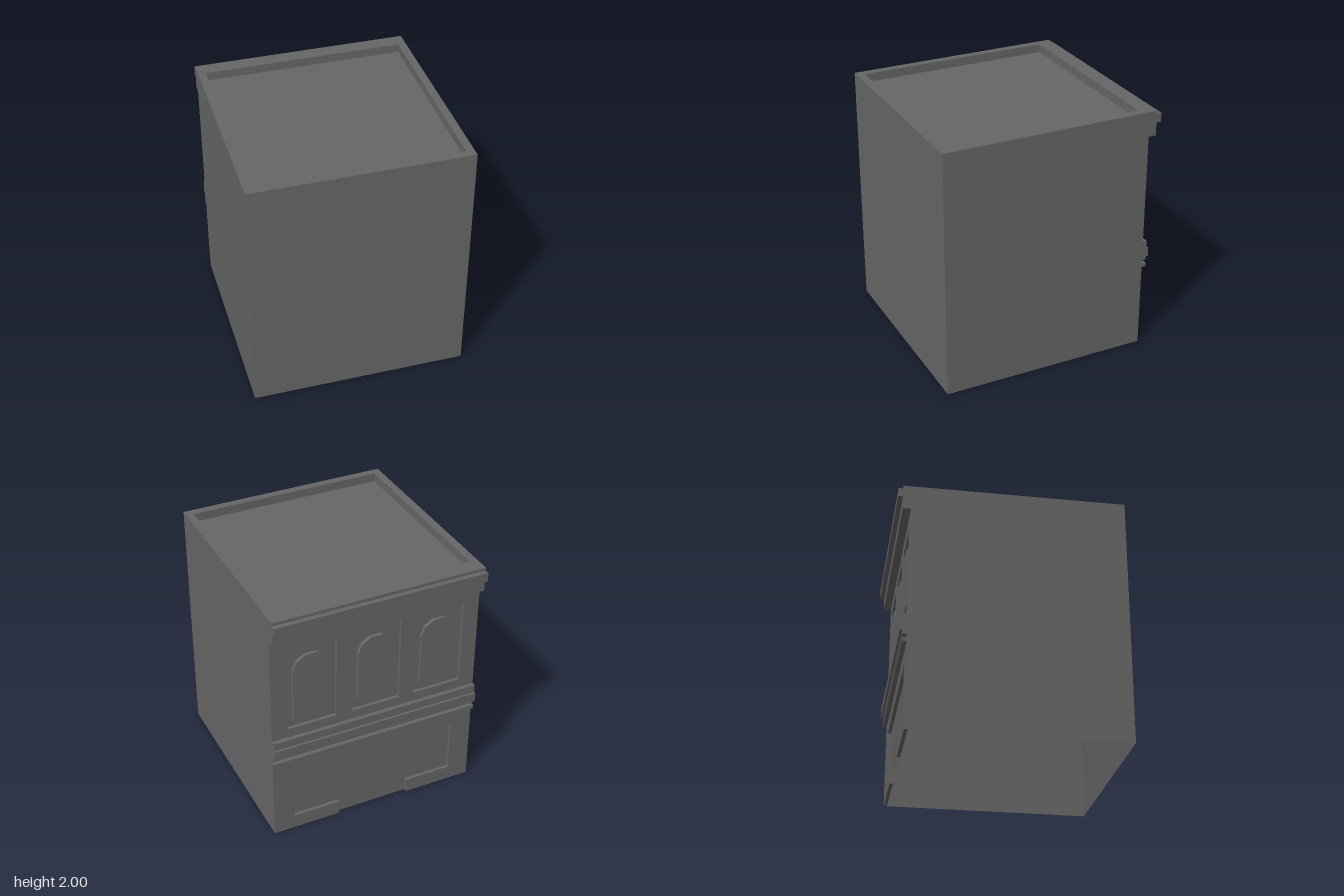
import * as THREE from 'three';

const HALF = 0.855;    // half the building's width
const TOP = 2;
const FRONT = 0.888;   // plain wall
const FACADE = -0.788; // decorated wall plane
const RECESS = 0.027;  // depth of the sunken panels
const ROOF = 1.93;

const material = new THREE.MeshStandardMaterial({
  color: 0x666666, flatShading: true, side: THREE.DoubleSide,
});

function add(group, name, geometry) {
  const mesh = new THREE.Mesh(geometry, material);
  mesh.name = name;
  group.add(mesh);
  return mesh;
}

// Box given by its limits, centred on x
function box(halfWidth, y0, y1, z0, z1) {
  return new THREE.BoxGeometry(2 * halfWidth, y1 - y0, z1 - z0)
    .translate(0, (y0 + y1) / 2, (z0 + z1) / 2);
}

// Keep only some sides of a box: 0 +x, 1 -x, 2 +y, 3 -y, 4 +z, 5 -z
function keepSides(geometry, sides) {
  const index = Array.from(geometry.index.array);
  geometry.setIndex(sides.flatMap((s) => index.slice(s * 6, s * 6 + 6)));
  geometry.clearGroups();
  return geometry;
}

function polygon(points, Type = THREE.Shape) {
  return new Type(points.map(([x, y]) => new THREE.Vector2(x, y)));
}

function rectangle(x0, x1, y0, y1, Type) {
  return polygon([[x0, y0], [x1, y0], [x1, y1], [x0, y1]], Type);
}

function extrude(shape) {
  return new THREE.ExtrudeGeometry(shape, { depth: RECESS, bevelEnabled: false });
}

// Window with a five-sided arched head
function archShape(x, halfWidth, bottom, spring, rise) {
  const points = [[x - halfWidth, bottom], [x + halfWidth, bottom]];
  const steps = 5;
  for (let i = 0; i <= steps; i++) {
    const a = (Math.PI * i) / steps;
    points.push([x + halfWidth * Math.cos(a), spring + rise * Math.sin(a)]);
  }
  return polygon(points);
}

export function createModel() {
  const model = new THREE.Group();
  model.name = 'building';

  // Hollow walls, open underneath
  const inner = FACADE + RECESS;
  add(model, 'walls', keepSides(box(HALF, 0, TOP, inner, FRONT), [0, 1, 4, 5]));

  // Flat rim and the sunken roof inside it
  const roofHalf = 0.792, roofBack = -0.728, roofFront = 0.823;
  const rim = rectangle(-HALF, HALF, -FRONT, -inner);
  rim.holes.push(rectangle(-roofHalf, roofHalf, -roofFront, -roofBack, THREE.Path));
  add(model, 'roofRim', new THREE.ShapeGeometry(rim).rotateX(-Math.PI / 2)).position.y = TOP;
  add(model, 'sunkenRoof',
    keepSides(box(roofHalf, ROOF, TOP, roofBack, roofFront).scale(1, 1, 1), [0, 1, 3, 4, 5]));

  // Facade skin with a shopfront opening reaching the ground at the doorway
  const door = 0.298, shop = 0.68, base = 0.118, head = 0.57;
  const skin = polygon([
    [-HALF, 0], [-door, 0], [-door, base], [-shop, base], [-shop, head],
    [shop, head], [shop, base], [door, base], [door, 0], [HALF, 0],
    [HALF, TOP], [-HALF, TOP],
  ]);
  const windowCentres = [-0.526, 0, 0.526];
  for (const x of windowCentres) {
    skin.holes.push(rectangle(x - 0.2, x + 0.2, 0.985, 1.688, THREE.Path));
  }
  add(model, 'facade', extrude(skin)).position.z = FACADE;

  // Raised arched windows inside the sunken panels
  for (const x of windowCentres) {
    const arch = archShape(x, 0.15, 1.063, 1.488, 0.127);
    add(model, 'archedWindow', extrude(arch)).position.z = FACADE;
  }

  // Horizontal mouldings: name, bottom, top, outer z, inner z
  const mouldings = [
    ['corniceBase', 1.8, TOP, -0.85, FACADE],
    ['corniceBand', 1.903, 1.975, -0.888, -0.85],
    ['belt', 0.745, 0.91, -0.822, FACADE],
    ['beltBand', 0.775, 0.845, -0.84, -0.822],
    ['lowerTrim', 0.685, 0.715, -0.822, FACADE],
  ];
  for (const [name, ...limits] of mouldings) add(model, name, box(HALF, ...limits));

  return model;
}
